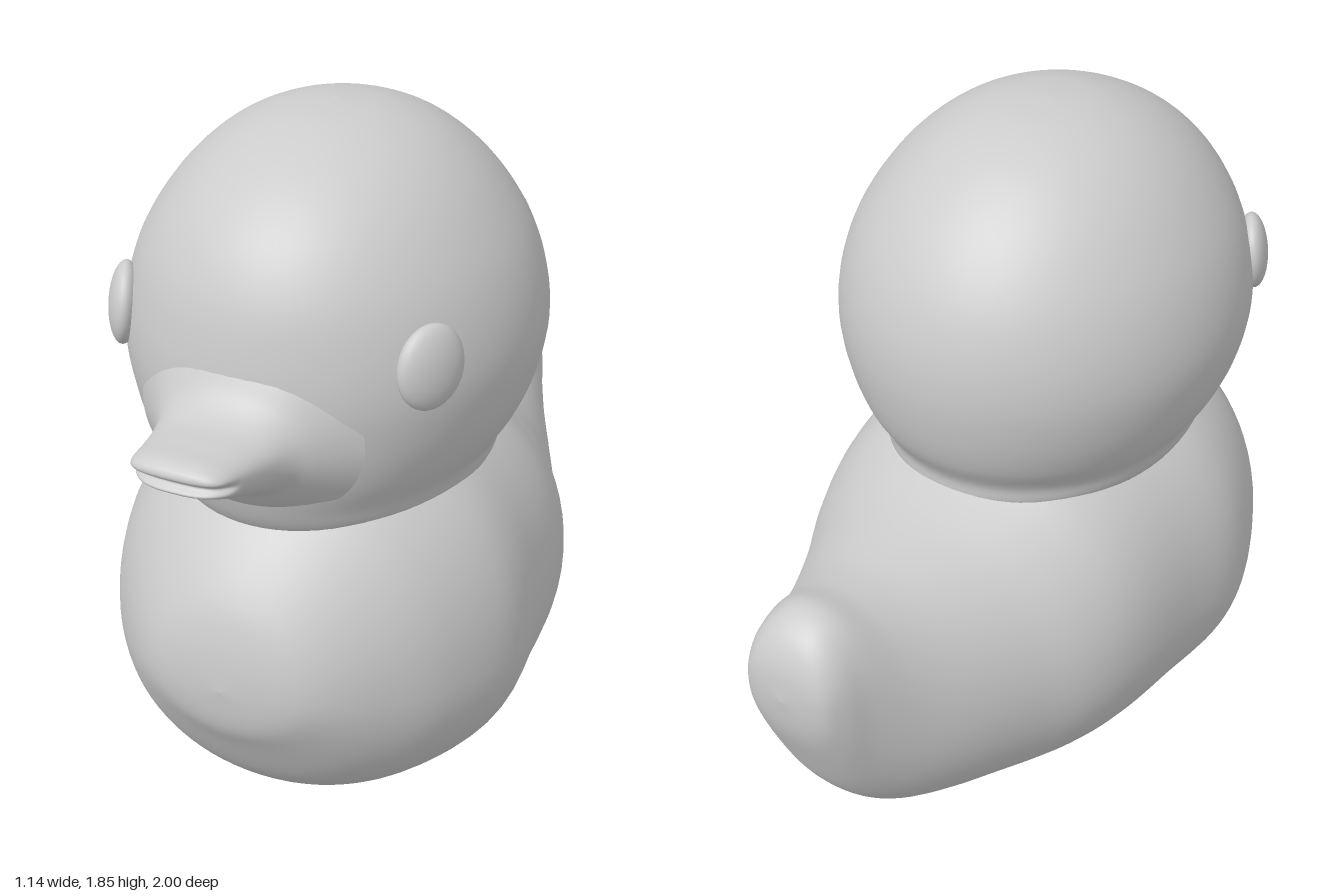
import * as THREE from 'three';

// Catmull-Rom through rows of numbers, every column interpolated alike
function smoothRows(rows, steps) {
  const out = [];
  const at = (i) => rows[Math.min(Math.max(i, 0), rows.length - 1)];
  for (let i = 0; i < rows.length - 1; i++) {
    for (let s = 0; s < steps; s++) {
      const t = s / steps;
      out.push(rows[i].map((p1, k) => {
        const p0 = at(i - 1)[k], p2 = at(i + 1)[k], p3 = at(i + 2)[k];
        return p1 + 0.5 * t * (p2 - p0 + t * (2 * p0 - 5 * p1 + 4 * p2 - p3 + t * (3 * (p1 - p2) + p3 - p0)));
      }));
    }
  }
  out.push(rows[rows.length - 1]);
  return out;
}

// Skin closed rings: point(row, angle) gives a position on a ring
function loft(rows, segments, point) {
  const pos = [], index = [];
  rows.forEach((row, i) => {
    for (let j = 0; j < segments; j++) {
      pos.push(...point(row, (j / segments) * Math.PI * 2));
      if (i === rows.length - 1) continue;
      const a = i * segments + j, b = i * segments + ((j + 1) % segments);
      index.push(a, a + segments, b, b, a + segments, b + segments);
    }
  });
  const geo = new THREE.BufferGeometry();
  geo.setAttribute('position', new THREE.Float32BufferAttribute(pos, 3));
  geo.setIndex(index);
  geo.computeVertexNormals();
  return geo;
}

const signedPow = (v, p) => Math.sign(v) * Math.abs(v) ** p;

// Upright section for rows of [z, halfWidth, bottom, middle, top, roundness]
function section([z, w, bottom, middle, top, n], angle) {
  const c = signedPow(Math.cos(angle), 2 / n), s = signedPow(Math.sin(angle), 2 / n);
  const y = middle + s * (s > 0 ? top - middle : middle - bottom);
  return [Math.max(w, 0) * c, Math.max(y, 0), z];
}

export function createModel() {
  const group = new THREE.Group();
  const material = new THREE.MeshStandardMaterial({ color: 0xcccccc, roughness: 0.6 });
  const add = (name, geometry) => {
    const mesh = new THREE.Mesh(geometry, material);
    mesh.name = name;
    group.add(mesh);
    return mesh;
  };

  // Body from the chest back to the raised tail
  const body = [
    [0.82, 0, 0.53, 0.53, 0.53, 2],
    [0.805, 0.15, 0.42, 0.53, 0.65, 2],
    [0.76, 0.255, 0.335, 0.52, 0.77, 2],
    [0.65, 0.375, 0.165, 0.5, 0.91, 2.05],
    [0.5, 0.485, 0.065, 0.49, 1.03, 2.1],
    [0.28, 0.565, 0.012, 0.48, 1.09, 2.1],
    [0.05, 0.545, 0, 0.48, 1.08, 2.1],
    [-0.15, 0.52, 0.008, 0.48, 1.03, 2.1],
    [-0.3, 0.475, 0.025, 0.47, 0.955, 2.05],
    [-0.45, 0.395, 0.05, 0.47, 0.905, 2],
    [-0.62, 0.31, 0.105, 0.49, 0.88, 2],
    [-0.75, 0.24, 0.185, 0.53, 0.89, 2.1],
    [-0.86, 0.185, 0.315, 0.6, 0.92, 2.2],
    [-0.94, 0.15, 0.48, 0.67, 0.885, 2.3],
    [-0.985, 0.105, 0.6, 0.71, 0.81, 2.2],
    [-1, 0, 0.71, 0.71, 0.71, 2],
  ];
  add('body', loft(smoothRows(body, 6), 72, section));

  // Head: rows of [y, halfWidth, backZ, frontZ]
  const head = [
    [0.86, 0.34, -0.27, 0.6],
    [0.92, 0.395, -0.325, 0.65],
    [0.98, 0.415, -0.335, 0.68],
    [1.06, 0.463, -0.38, 0.705],
    [1.16, 0.503, -0.41, 0.72],
    [1.28, 0.525, -0.425, 0.727],
    [1.4, 0.514, -0.415, 0.715],
    [1.52, 0.475, -0.375, 0.685],
    [1.63, 0.41, -0.305, 0.625],
    [1.72, 0.333, -0.215, 0.535],
    [1.79, 0.24, -0.11, 0.42],
    [1.835, 0.127, 0.015, 0.29],
    [1.85, 0, 0.15, 0.15],
  ];
  add('head', loft(smoothRows(head, 5), 72, ([y, w, back, front], a) => {
    const s = Math.sin(a);
    return [w * Math.cos(a), y, 0.15 + s * (s > 0 ? front - 0.15 : 0.15 - back)];
  }));

  // Beak: flares into the face, with a groove between the two lips
  const beak = [
    [1, 0, 1.21, 1.21, 1.21, 2.5],
    [0.997, 0.06, 1.19, 1.21, 1.23, 2.6],
    [0.985, 0.105, 1.178, 1.21, 1.245, 2.7],
    [0.955, 0.128, 1.165, 1.205, 1.256, 2.6],
    [0.89, 0.14, 1.13, 1.2, 1.26, 2.5],
    [0.81, 0.16, 1.093, 1.19, 1.272, 2.3],
    [0.75, 0.185, 1.06, 1.18, 1.312, 2.1],
    [0.7, 0.225, 1.01, 1.18, 1.385, 2],
    [0.62, 0.3, 0.95, 1.18, 1.48, 2],
  ];
  add('beak', loft(smoothRows(beak, 8), 96, (row, a) => {
    const [x, y, z] = section(row, a);
    const groove = Math.exp(-(((y - 1.2) / 0.014) ** 2)) * THREE.MathUtils.smoothstep(z, 0.9, 0.98);
    return [x * (1 - 0.08 * groove), y, z - 0.03 * groove];
  }));

  // Eyes: flattened ovals, slightly tilted, lying on the sides of the face
  for (const side of [1, -1]) {
    const eye = add(side > 0 ? 'leftEye' : 'rightEye', new THREE.SphereGeometry(1, 32, 20));
    eye.scale.set(0.092, 0.105, 0.04);
    eye.position.set(side * 0.412, 1.37, 0.505);
    eye.rotation.set(-0.1, side * 1.04, side * -0.2, 'YXZ');
  }
  return group;
}
